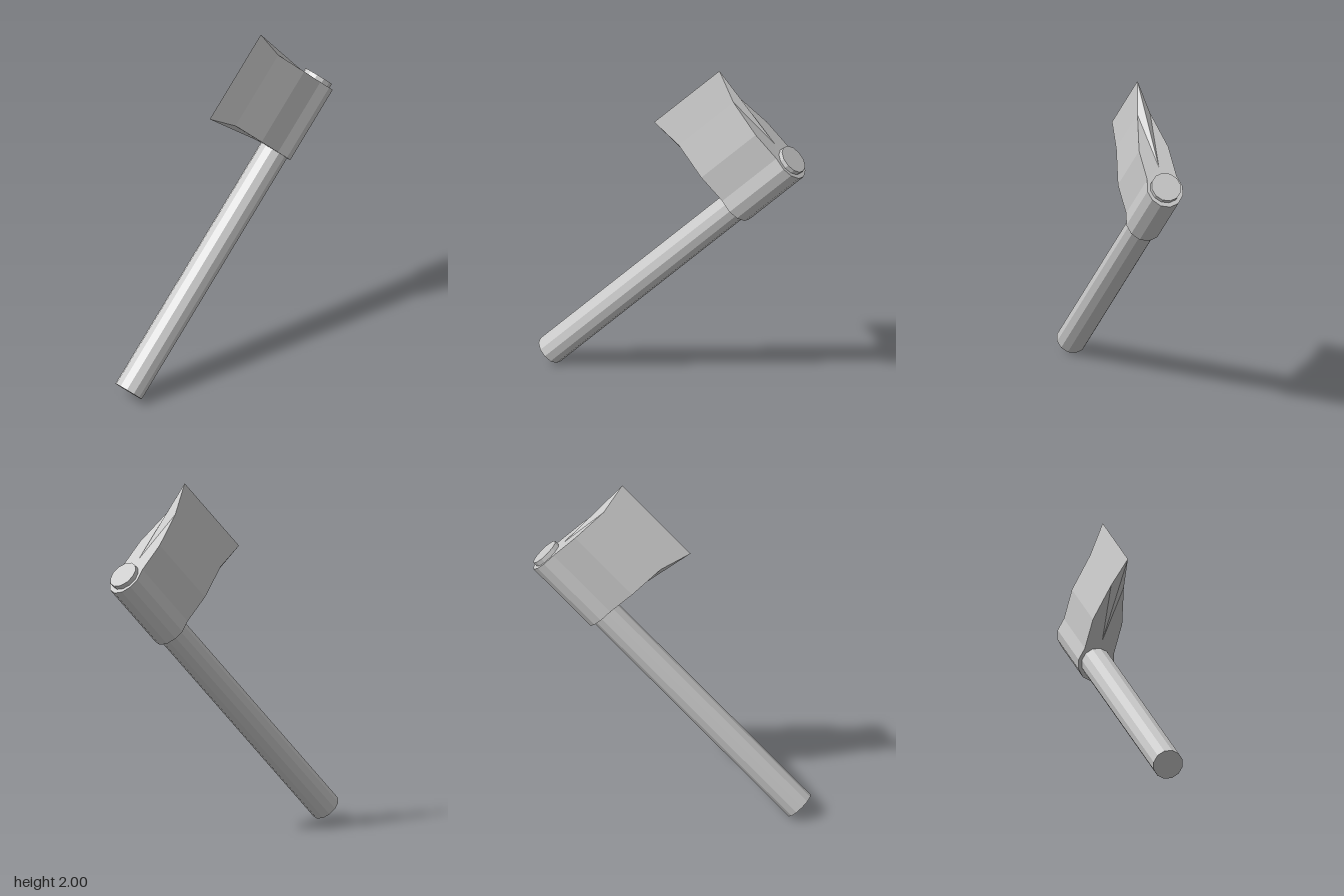
import * as THREE from 'three';

const material = new THREE.MeshStandardMaterial({ color: 0xcccccc, flatShading: true });

// Axe head: outline in (x, z), with the half height of each point along the handle
function headGeometry(middle) {
  const half = [
    [-0.65, 0, 0.277],      // cutting edge, flared
    [-0.466, 0.038, 0.232],
    [-0.249, 0.088, 0.231],
    [-0.072, 0.088, 0.23],
    [0, 0.106, 0.23],       // collar around the handle
    [0.055, 0.092, 0.23],
    [0.098, 0.053, 0.23],
    [0.1135, 0, 0.23],
  ];
  const mirrored = half.slice(1, -1).reverse().map(([x, z, h]) => [x, -z, h]);
  const outline = [...half, ...mirrored];
  const at = ([x, z, h], side) => [x, middle + side * h, z];
  const hub = [-0.134, 0, 0.23];
  const positions = [];
  const triangle = (a, b, c) => positions.push(...a, ...b, ...c);

  outline.forEach((p, i) => {
    const q = outline[(i + 1) % outline.length];
    // side face
    triangle(at(p, -1), at(q, -1), at(q, 1));
    triangle(at(p, -1), at(q, 1), at(p, 1));
    // end faces, fanned from the hub
    triangle(at(hub, 1), at(p, 1), at(q, 1));
    triangle(at(hub, -1), at(q, -1), at(p, -1));
  });

  const geometry = new THREE.BufferGeometry();
  geometry.setAttribute('position', new THREE.Float32BufferAttribute(positions, 3));
  geometry.computeVertexNormals();
  return geometry;
}

export function createModel() {
  const model = new THREE.Group();
  model.name = 'axe';

  // Everything is built upright, then tilted 45 degrees
  const tilted = new THREE.Group();
  tilted.name = 'tiltedAxe';
  tilted.rotation.z = -Math.PI / 4;
  tilted.position.set(-0.4, 0.4, 0);
  model.add(tilted);

  // Twelve-sided handle, passing through the head
  const bottom = -0.475, top = 1.592;
  const handle = new THREE.Mesh(
    new THREE.CylinderGeometry(0.0865, 0.0865, top - bottom, 12), material);
  handle.name = 'handle';
  handle.position.y = (bottom + top) / 2;
  tilted.add(handle);

  // Wedge blade and collar in one piece
  const head = new THREE.Mesh(headGeometry(1.335), material);
  head.name = 'axeHead';
  tilted.add(head);

  return model;
}
